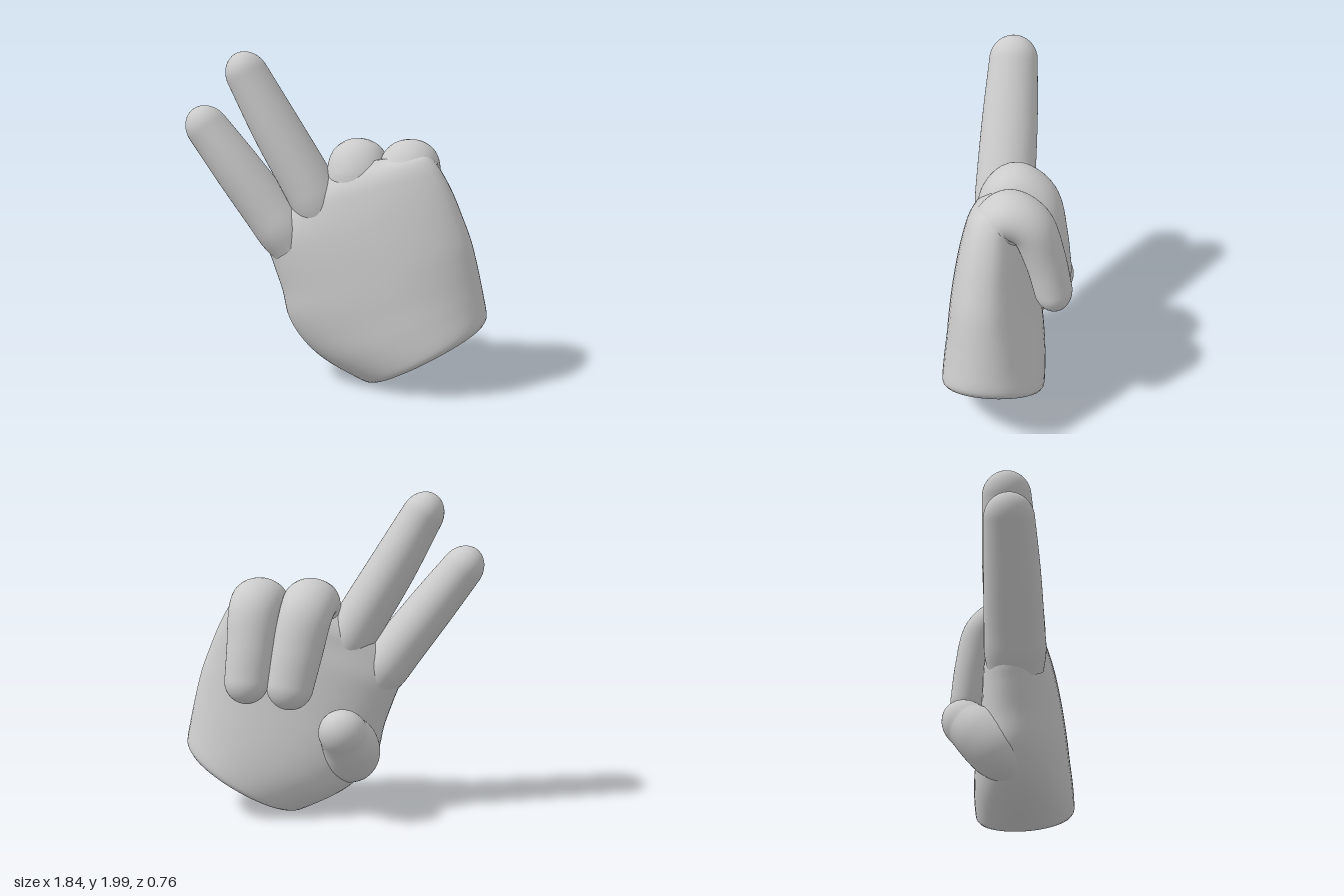
import * as THREE from 'three';

const material = new THREE.MeshStandardMaterial({ color: 0xcccccc });
const SIDES = 48;
const V = (x, y, z) => new THREE.Vector3(x, y, z);
const spline = (points) => new THREE.CatmullRomCurve3(points, false, 'catmullrom', 0.5);

// Smooth skin over closed rings with equal point counts
function skin(name, rings) {
  const positions = [], index = [];
  rings.forEach((ring) => ring.forEach((p) => positions.push(p.x, p.y, p.z)));
  for (let i = 0; i < rings.length - 1; i++) {
    for (let j = 0; j < SIDES; j++) {
      const k = (j + 1) % SIDES;
      const a = i * SIDES + j, b = i * SIDES + k;
      const c = a + SIDES, d = b + SIDES;
      index.push(a, b, d, a, d, c);
    }
  }
  const geometry = new THREE.BufferGeometry();
  geometry.setAttribute('position', new THREE.Float32BufferAttribute(positions, 3));
  geometry.setIndex(index);
  geometry.computeVertexNormals();
  const mesh = new THREE.Mesh(geometry, material);
  mesh.name = name;
  return mesh;
}

// Tapered finger along points [x, y, z, radius] with a round tip;
// "side" is the axis widened by "stretch"
function finger(name, points, side, stretch) {
  const path = spline(points.map((p) => V(p[0], p[1], p[2])));
  const radii = spline(points.map((p) => V(p[3], 0, 0)));
  const rings = [];
  const addRing = (center, tangent, r) => {
    const u = side.clone().addScaledVector(tangent, -side.dot(tangent)).normalize();
    const v = tangent.clone().cross(u);
    rings.push(Array.from({ length: SIDES }, (_, j) => {
      const a = (j / SIDES) * Math.PI * 2;
      return center.clone()
        .addScaledVector(u, Math.cos(a) * r * stretch)
        .addScaledVector(v, Math.sin(a) * r);
    }));
  };
  for (let i = 0; i <= 44; i++) {
    const t = i / 44;
    addRing(path.getPoint(t), path.getTangent(t), radii.getPoint(t).x);
  }
  const end = path.getPoint(1), tangent = path.getTangent(1), r = radii.getPoint(1).x;
  for (let i = 1; i <= 12; i++) {
    const a = (i / 12) * Math.PI / 2;
    const center = end.clone().addScaledVector(tangent, r * 1.2 * Math.sin(a));
    addRing(center, tangent, Math.max(r * Math.cos(a), 0.001));
  }
  return skin(name, rings);
}

// Palm: sections from left edge to right edge, [xL, yL, xR, yR, zFront, zBack]
function palm() {
  const rows = [
    [0.225, 0.002, 0.90, 0.385, 0.36, -0.22],
    [0.165, 0.015, 0.92, 0.44, 0.38, -0.235],
    [-0.05, 0.12, 0.90, 0.56, 0.38, -0.225],
    [-0.19, 0.235, 0.875, 0.68, 0.37, -0.205],
    [-0.285, 0.38, 0.85, 0.79, 0.36, -0.18],
    [-0.325, 0.55, 0.82, 0.90, 0.345, -0.155],
    [-0.38, 0.71, 0.77, 1.03, 0.325, -0.135],
    [-0.415, 0.83, 0.71, 1.17, 0.30, -0.12],
    [-0.365, 0.96, 0.65, 1.28, 0.27, -0.10],
    [-0.27, 1.08, 0.60, 1.35, 0.24, -0.09],
    [-0.15, 1.19, 0.55, 1.39, 0.195, -0.06],
    [-0.03, 1.31, 0.48, 1.40, 0.12, 0.0],
  ];
  const left = spline(rows.map((r) => V(r[0], r[1], 0)));
  const right = spline(rows.map((r) => V(r[2], r[3], 0)));
  const depth = spline(rows.map((r) => V(r[4], r[5], 0)));
  const section = (t, scale) => {
    const l = left.getPoint(t), r = right.getPoint(t), d = depth.getPoint(t);
    const mid = l.clone().add(r).multiplyScalar(0.5);
    const half = r.clone().sub(l).multiplyScalar(0.5 * scale);
    const zMid = (d.x + d.y) / 2, zHalf = (d.x - d.y) / 2 * scale;
    const power = 1 - 0.25 * t; // sections grow boxier towards the knuckles
    const round = (s) => Math.sign(s) * Math.pow(Math.abs(s), power);
    return Array.from({ length: SIDES }, (_, j) => {
      const a = (j / SIDES) * Math.PI * 2;
      const p = mid.clone().addScaledVector(half, round(Math.cos(a)));
      return p.setZ(zMid - zHalf * round(Math.sin(a)));
    });
  };
  const rings = [section(0, 0.001)];
  for (let i = 0; i <= 60; i++) rings.push(section(i / 60, 1));
  rings.push(section(1, 0.6), section(1, 0.001));
  return skin('palm', rings);
}

export function createModel() {
  const group = new THREE.Group();
  group.name = 'hand';
  const X = V(1, 0, 0), Z = V(0, 0, 1);
  group.add(palm());

  // Two raised fingers
  group.add(finger('indexFinger', [
    [-0.25, 0.82, 0.105, 0.14], [-0.32, 0.92, 0.11, 0.156], [-0.41, 1.04, 0.115, 0.152],
    [-0.60, 1.29, 0.125, 0.142], [-0.78, 1.525, 0.13, 0.127],
  ], Z, 1.16));
  group.add(finger('middleFinger', [
    [-0.04, 0.96, 0.095, 0.13], [-0.10, 1.08, 0.092, 0.153], [-0.17, 1.21, 0.09, 0.155],
    [-0.36, 1.53, 0.088, 0.146], [-0.537, 1.845, 0.088, 0.127],
  ], Z, 1.17));

  // Two fingers folded over the back of the palm
  group.add(finger('ringFinger', [
    [0.13, 1.12, 0.06, 0.125], [0.125, 1.23, 0.065, 0.15], [0.12, 1.335, -0.01, 0.142],
    [0.14, 1.26, -0.14, 0.132], [0.18, 1.06, -0.20, 0.126], [0.22, 0.855, -0.24, 0.117],
  ], X, 1.2));
  group.add(finger('littleFinger', [
    [0.42, 1.12, 0.06, 0.125], [0.43, 1.23, 0.065, 0.15], [0.435, 1.335, -0.01, 0.142],
    [0.45, 1.28, -0.14, 0.128], [0.46, 1.08, -0.22, 0.117], [0.475, 0.885, -0.27, 0.11],
  ], X, 1.2));

  // Thumb bent inward from the heel of the hand
  group.add(finger('thumb', [
    [-0.06, 0.28, 0.08, 0.12], [-0.115, 0.37, 0.0, 0.165], [-0.125, 0.47, -0.10, 0.163],
    [-0.095, 0.565, -0.20, 0.138],
  ], X, 1.08));
  return group;
}
